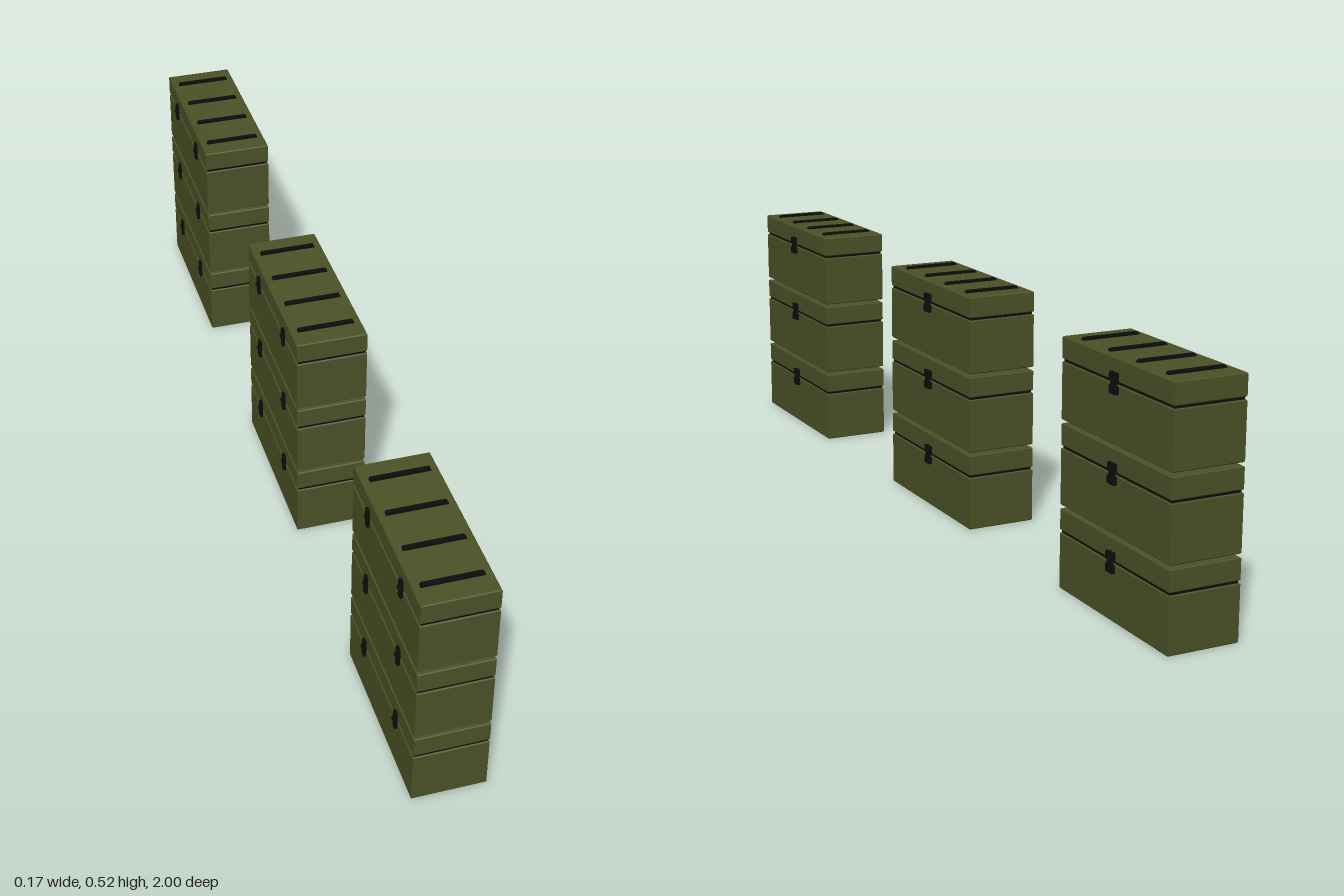
import * as THREE from 'three';

const green = new THREE.MeshStandardMaterial({ color: 0x4b5227, flatShading: true });
const black = new THREE.MeshStandardMaterial({ color: 0x0d0d0d, flatShading: true });

const W = 0.154, L = 0.4, PITCH = 0.174;

function add(parent, name, geometry, material, x = 0, y = 0, z = 0) {
  const mesh = new THREE.Mesh(geometry, material);
  mesh.name = name;
  mesh.position.set(x, y, z);
  parent.add(mesh);
  return mesh;
}

// Box standing on y = 0 with chamfered top and bottom edges
function chamferBox(w, h, l, c) {
  const s = new THREE.Shape();
  const x = w / 2 - c, z = l / 2 - c;
  s.moveTo(-x, -z).lineTo(x, -z).lineTo(x, z).lineTo(-x, z).closePath();
  return new THREE.ExtrudeGeometry(s, {
    depth: h - 2 * c, bevelEnabled: true, bevelThickness: c, bevelSize: c, bevelSegments: 1,
  }).translate(0, 0, c).rotateX(-Math.PI / 2);
}

// Stacking rib with sloped ends
function ribGeometry() {
  const s = new THREE.Shape();
  s.moveTo(-0.062, 0).lineTo(0.062, 0).lineTo(0.062, 0.003).lineTo(0.059, 0.007)
    .lineTo(-0.059, 0.007).lineTo(-0.062, 0.003).closePath();
  return new THREE.ExtrudeGeometry(s, { depth: 0.01, bevelEnabled: false }).translate(0, 0, -0.005);
}

const geo = {
  body: chamferBox(W, 0.117, L, 0.002),
  lid: chamferBox(W, 0.045, L, 0.002),
  seam: new THREE.BoxGeometry(W - 0.006, 0.008, L - 0.006),
  rib: ribGeometry(),
  plate: new THREE.BoxGeometry(0.008, 0.016, 0.024),
  clasp: new THREE.BoxGeometry(0.008, 0.014, 0.012),
  strap: new THREE.BoxGeometry(0.006, 0.042, 0.012),
  pin: new THREE.CylinderGeometry(0.005, 0.005, 0.014, 8),
};

function createCrate() {
  const crate = new THREE.Group();
  crate.name = 'crate';
  add(crate, 'body', geo.body, green);
  add(crate, 'seam', geo.seam, black, 0, 0.1195, 0);
  add(crate, 'lid', geo.lid, green, 0, 0.122, 0);
  for (const z of [-0.15, -0.05, 0.05, 0.15]) add(crate, 'lidRib', geo.rib, black, 0, 0.1655, z);

  // Latch on the left side: two plates joined by a narrow clasp
  add(crate, 'latchLowerPlate', geo.plate, black, 0.081, 0.107, 0);
  add(crate, 'latchUpperPlate', geo.plate, black, 0.081, 0.132, 0);
  add(crate, 'latchClasp', geo.clasp, black, 0.081, 0.1195, 0);

  // Hinges on the right side
  for (const z of [-0.1, 0.1]) {
    add(crate, 'hingeStrap', geo.strap, black, -0.08, 0.121, z);
    add(crate, 'hingePin', geo.pin, black, -0.081, 0.1205, z).rotation.x = Math.PI / 2;
  }
  return crate;
}

export function createModel() {
  const model = new THREE.Group();
  model.name = 'crateStacks';
  // Three stacks of three crates in a row
  for (const z of [-0.8, 0, 0.8]) {
    const stack = new THREE.Group();
    stack.name = 'stack';
    stack.position.z = z;
    for (let i = 0; i < 3; i++) {
      const crate = createCrate();
      crate.position.y = i * PITCH;
      stack.add(crate);
    }
    model.add(stack);
  }
  return model;
}
